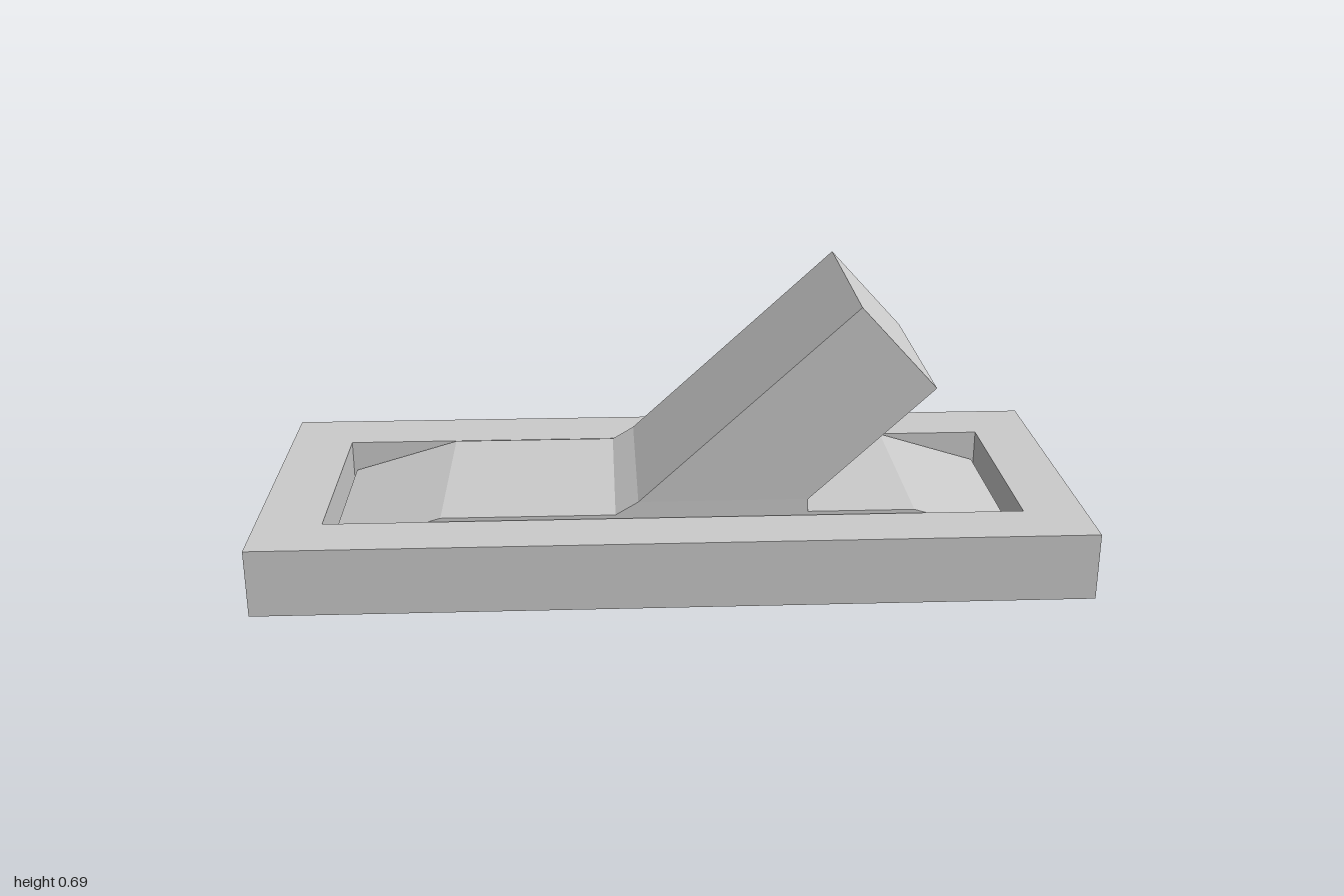
import * as THREE from 'three';

const material = new THREE.MeshStandardMaterial({ color: 0xcccccc, flatShading: true });

function addMesh(group, name, geometry) {
  const mesh = new THREE.Mesh(geometry, material);
  mesh.name = name;
  group.add(mesh);
  return mesh;
}

const polygon = (points) => points.map(([x, y]) => new THREE.Vector2(x, y));

// Side profile (x, y) swept across the width from z0 to z1
function sweep(points, z0, z1) {
  const shape = new THREE.Shape(polygon(points));
  return new THREE.ExtrudeGeometry(shape, { depth: z1 - z0, bevelEnabled: false }).translate(0, 0, z0);
}

export function createModel() {
  const model = new THREE.Group();
  model.name = 'rockerSwitch';

  const height = 0.167, floorTop = 0.05;
  const pocket = { x0: -0.84, x1: 0.85, z0: -0.255, z1: 0.27 };

  // Rectangular frame with a pocket for the rocker
  const outline = new THREE.Shape(polygon([[-1, -0.415], [1, -0.415], [1, 0.415], [-1, 0.415]]));
  outline.holes.push(new THREE.Path(polygon([
    [pocket.x0, -pocket.z1], [pocket.x0, -pocket.z0], [pocket.x1, -pocket.z0], [pocket.x1, -pocket.z1],
  ])));
  const frame = new THREE.ExtrudeGeometry(outline, { depth: height, bevelEnabled: false });
  addMesh(model, 'frame', frame.rotateX(-Math.PI / 2));

  // Floor closing the pocket
  const floor = addMesh(model, 'pocketFloor',
    new THREE.BoxGeometry(pocket.x1 - pocket.x0, floorTop, pocket.z1 - pocket.z0));
  floor.position.set((pocket.x0 + pocket.x1) / 2, floorTop / 2, (pocket.z0 + pocket.z1) / 2);

  // Rocker plate with sloping ends
  addMesh(model, 'rockerPlate', sweep([
    [-0.83, floorTop], [0.84, floorTop], [0.84, 0.093], [0.585, 0.172], [-0.56, 0.172], [-0.83, 0.093],
  ], -0.24, 0.26));

  // Slanted lever, its tip shifted slightly sideways
  const lever = sweep([
    [-0.14, 0.172], [0.325, 0.172], [0.325, 0.205], [0.62, 0.487], [0.435, 0.688], [-0.085, 0.205],
  ], -0.24, 0.26);
  const p = lever.attributes.position;
  for (let i = 0; i < p.count; i++) {
    if (p.getY(i) > 0.4) p.setZ(i, p.getZ(i) + 0.01);
  }
  lever.computeVertexNormals();
  addMesh(model, 'lever', lever);

  return model;
}
